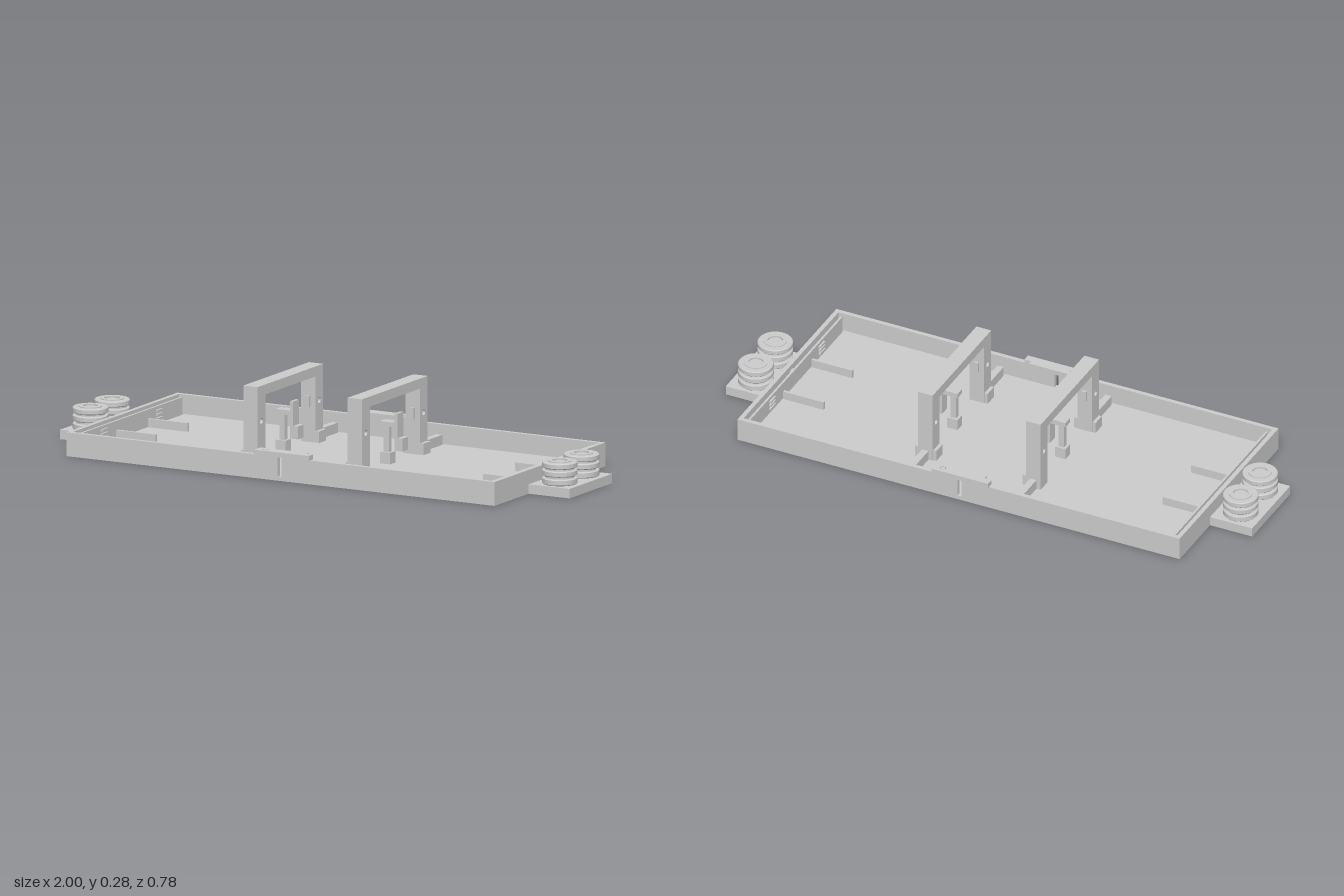
import * as THREE from 'three';

const mat = new THREE.MeshStandardMaterial({ color: 0xcccccc, flatShading: true });
const smooth = new THREE.MeshStandardMaterial({ color: 0xcccccc, side: THREE.DoubleSide });

// Box given by its min and max on each axis
function box(parent, name, x0, x1, y0, y1, z0, z1) {
  const m = new THREE.Mesh(new THREE.BoxGeometry(x1 - x0, y1 - y0, z1 - z0), mat);
  m.position.set((x0 + x1) / 2, (y0 + y1) / 2, (z0 + z1) / 2);
  m.name = name;
  parent.add(m);
  return m;
}

function polygon(points) {
  return new THREE.Shape(points.map(([a, b]) => new THREE.Vector2(a, b)));
}

function hole(shape, x, y, r) {
  shape.holes.push(new THREE.Path().absarc(x, y, r, 0, Math.PI * 2, true));
}

const FLOOR = 0.015, RIM = 0.083, LX = 0.84, LZ = 0.382, T = 0.016;

function makeTray() {
  const tray = new THREE.Group();
  tray.name = 'tray';
  box(tray, 'floor', -LX, LX, 0, FLOOR, -LZ, LZ);
  for (const s of [-1, 1]) {
    const a = s < 0 ? -LZ : LZ - T, b = a + T;
    // long walls, split by a narrow slit at the middle
    box(tray, 'sideWall', -LX, -0.011, FLOOR, RIM, a, b);
    box(tray, 'sideWall', 0.004, LX, FLOOR, RIM, a, b);
    const e = s < 0 ? -LX : LX - T;
    box(tray, 'endWall', e, e + T, FLOOR, RIM, -LZ + T, LZ - T);
    // thin board in front of each end wall, with slats
    box(tray, 'endBoard', s * 0.808 - 0.004, s * 0.808 + 0.004, FLOOR, 0.076, -0.355, 0.355);
    for (const z of [-0.19, 0.19]) for (let i = 0; i < 3; i++) {
      const y = 0.03 + i * 0.014;
      box(tray, 'slat', s * 0.801 - 0.004, s * 0.801 + 0.004, y, y + 0.007, z - 0.02, z + 0.02);
    }
    box(tray, 'endTab', s * 0.83 - 0.022, s * 0.83 + 0.022, 0.045, 0.064, -0.012, 0.012);
    // low fins standing on the floor
    for (const z of [-0.11, 0.11]) {
      const zc = z - 0.008 * s * -1;
      box(tray, 'floorFin', s * 0.725 - 0.077, s * 0.725 + 0.077, FLOOR, 0.045, zc - 0.005, zc + 0.005);
    }
  }
  return tray;
}

// Arch across the tray with its feet, ribs and centre catch; local x = 0 is its centre
function makeArch(x, flip) {
  const g = new THREE.Group();
  g.name = 'arch';
  const w = 0.028, y0 = FLOOR;
  const shape = polygon([[-0.226, y0], [-0.172, y0], [-0.172, 0.245], [0.172, 0.245],
    [0.172, y0], [0.226, y0], [0.226, 0.28], [-0.226, 0.28]]);
  hole(shape, -0.199, 0.158, 0.01);
  hole(shape, 0.199, 0.158, 0.01);
  const geo = new THREE.ExtrudeGeometry(shape, { depth: w * 2, bevelEnabled: false, curveSegments: 20 });
  geo.translate(0, 0, -w).rotateY(Math.PI / 2);
  const frame = new THREE.Mesh(geo, mat);
  frame.name = 'archFrame';
  g.add(frame);
  for (const s of [-1, 1]) {
    const span = (a, b) => (s < 0 ? [-b, -a] : [a, b]);
    box(g, 'innerBoss', -0.008, 0.008, 0.137, 0.177, ...span(0.164, 0.173));
    box(g, 'footRib', -0.012, 0.012, y0, 0.05, ...span(0.226, 0.355));
    // one foot reaches both ways, the other only to one side
    const both = s === flip;
    const x0 = both || flip < 0 ? -0.04 : -0.01, x1 = both || flip > 0 ? 0.042 : 0.01;
    box(g, 'archFoot', x0, x1, y0, 0.055, ...span(0.174, 0.222));
  }
  // centre catch
  box(g, 'catchBase', -0.02, 0.02, y0, 0.055, -0.018, 0.018);
  box(g, 'catchStem', -0.01, 0.01, 0.055, 0.145, -0.01, 0.01);
  box(g, 'catchArm', -0.02, 0.042, 0.145, 0.162, -0.018, 0.018);
  box(g, 'catchPlate', 0.038, 0.05, 0.065, 0.195, -0.02, 0.02);
  box(g, 'catchFoot', 0.038, 0.069, 0.065, 0.11, -0.02, 0.02);
  g.position.x = x;
  return g;
}

// Flat stepped latch lying over the rim at the slit
function makeLatch() {
  const shape = polygon([[-0.1, -0.388], [0.115, -0.388], [0.115, -0.36],
    [0.09, -0.36], [0.09, -0.344], [-0.1, -0.344]]);
  hole(shape, -0.067, -0.366, 0.01);
  const geo = new THREE.ExtrudeGeometry(shape, { depth: 0.017, bevelEnabled: false, curveSegments: 16 });
  geo.rotateX(-Math.PI / 2).translate(0, RIM, 0);
  const g = new THREE.Group();
  g.name = 'latch';
  const plate = new THREE.Mesh(geo, mat);
  plate.name = 'latchPlate';
  const pin = new THREE.Mesh(new THREE.CylinderGeometry(0.008, 0.008, 0.016, 16), mat);
  pin.name = 'latchPin';
  pin.position.set(-0.067, RIM + 0.008, 0.366);
  g.add(plate, pin);
  return g;
}

// Stack of three discs with grooves between, turned in one piece
function makeStack(x, z) {
  const p = [[0, 0.033]];
  for (const [a, b] of [[0.033, 0.055], [0.063, 0.083], [0.09, 0.11]])
    p.push([0.05, a], [0.058, a], [0.061, a + 0.003], [0.061, b - 0.003], [0.058, b], [0.05, b]);
  p.push([0.04, 0.11], [0.04, 0.113], [0.026, 0.113], [0.026, 0.107], [0, 0.107]);
  // doubled points keep the edges sharp
  const pts = p.flatMap(([r, y], i) => (i && i < p.length - 1
    ? [new THREE.Vector2(r, y), new THREE.Vector2(r, y)] : [new THREE.Vector2(r, y)]));
  const m = new THREE.Mesh(new THREE.LatheGeometry(pts, 40).toNonIndexed(), smooth);
  m.geometry.computeVertexNormals();
  m.name = 'discStack';
  m.position.set(x, 0, z);
  return m;
}

export function createModel() {
  const model = new THREE.Group();
  model.name = 'trayWithArches';
  model.add(makeTray(), makeArch(-0.207, 1), makeArch(0.203, -1));
  const back = makeLatch();
  back.rotation.y = Math.PI;
  model.add(makeLatch(), back);
  // end platforms carrying two disc stacks each
  for (const s of [-1, 1]) {
    box(model, 'endPlatform', s * 0.92 - 0.08, s * 0.92 + 0.08, 0, 0.033, -0.147, 0.147);
    for (const z of [-0.075, 0.075]) model.add(makeStack(s * 0.921, z));
  }
  return model;
}
